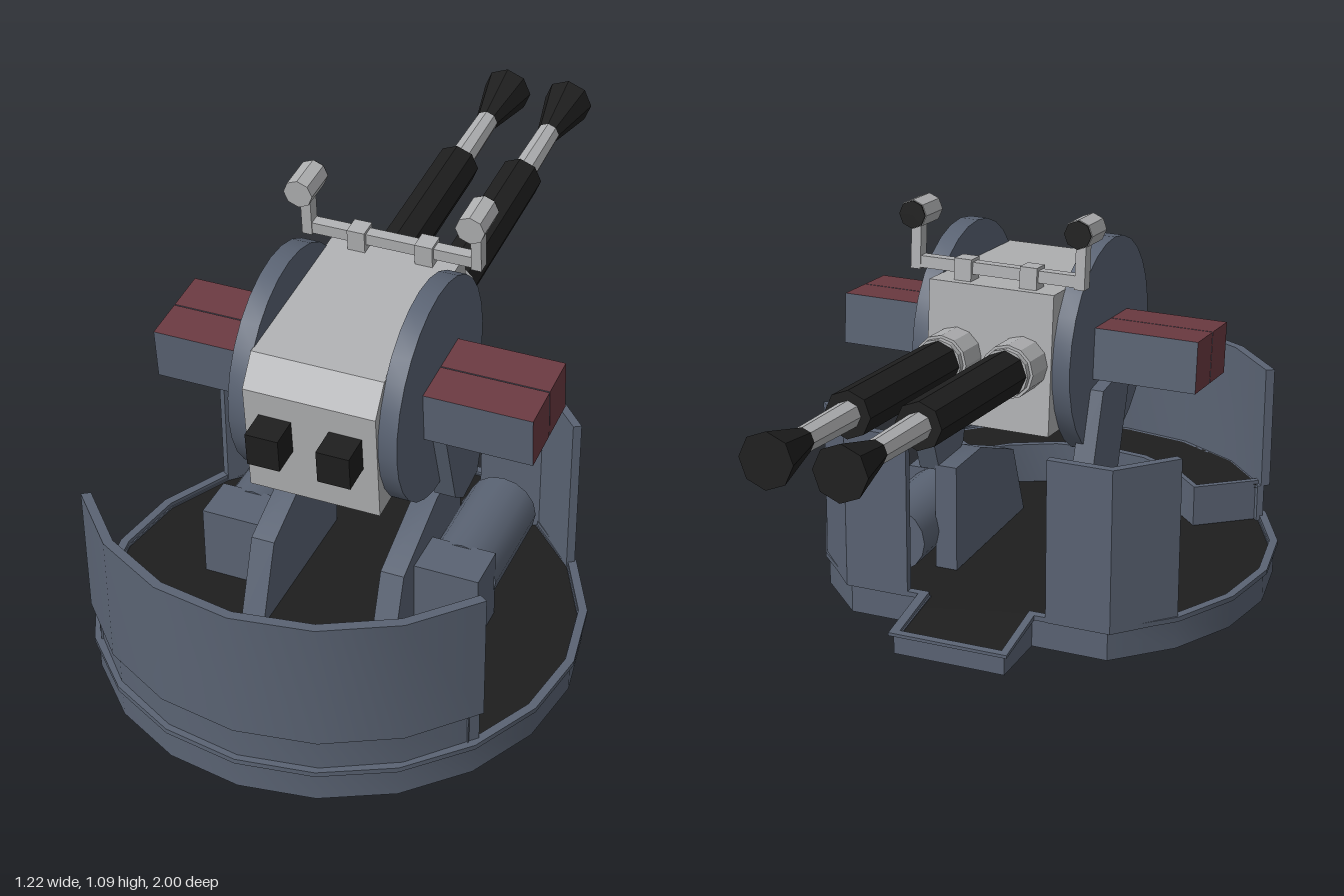
import * as THREE from 'three';
import { toCreasedNormals } from 'three/addons/utils/BufferGeometryUtils.js';

const mat = (name, color, side = THREE.FrontSide) => {
  const m = new THREE.MeshStandardMaterial({ color, side });
  m.name = name;
  return m;
};

export function createModel() {
  const steel = mat('blueGreySteel', 0x5a6373);
  const light = mat('lightGrey', 0xb0b1b3);
  const black = mat('black', 0x1e1e1e, THREE.DoubleSide);
  const red = mat('darkRed', 0x6b3a41);

  const model = new THREE.Group();
  model.name = 'twinGunTurret';
  // Gentle curves are smooth, sharper corners stay crisp
  const add = (parent, name, geo, material) => {
    const m = new THREE.Mesh(toCreasedNormals(geo, 0.5), material);
    m.name = name;
    parent.add(m);
  };
  const toShape = (pts) => new THREE.Shape(pts.map(([a, b]) => new THREE.Vector2(a, b)));

  // Prism from a floor plan of [x, z] points, standing between y0 and y1
  const plan = (pts, y0, y1, hole) => {
    const shape = toShape(pts);
    if (hole) shape.holes.push(toShape(hole.reverse()));
    return new THREE.ExtrudeGeometry(shape, { depth: y1 - y0, bevelEnabled: false })
      .rotateX(Math.PI / 2).translate(0, y1, 0);
  };
  // Plate from a side profile of [z, y] points, lying between x0 and x1
  const plate = (pts, x0, x1) =>
    new THREE.ExtrudeGeometry(toShape(pts), { depth: x1 - x0, bevelEnabled: false })
      .rotateY(-Math.PI / 2).translate(x1, 0, 0);
  const box = (w, h, d, x, y, z) => new THREE.BoxGeometry(w, h, d).translate(x, y, z);
  // Round part along z from zA (radius rA) back to zB (radius rB)
  const rod = (rA, rB, zA, zB, x, y, sides = 8) =>
    new THREE.CylinderGeometry(rA, rB, zA - zB, sides)
      .rotateX(Math.PI / 2).translate(x, y, (zA + zB) / 2);

  // Base outline: 20-sided circle cut flat at the back, with a step platform
  const CZ = 0.39;
  const arc = (r, n, step) => {
    const pts = [];
    for (let i = -n; i <= n; i++) pts.push([r * Math.sin(i * step), CZ + r * Math.cos(i * step)]);
    return pts;
  };
  const outline = (grow) => {
    const w = 0.15 + grow, cut = -0.095 - grow, end = -0.27 - grow;
    return [...arc(0.6 + grow, 8, Math.PI / 10), [w, cut], [w, end], [-w, end], [-w, cut]];
  };
  // Lower the top of the platform towards its end
  const slope = (geo) => {
    const p = geo.attributes.position;
    for (let i = 0; i < p.count; i++) {
      if (p.getZ(i) < -0.12) p.setY(i, p.getY(i) * 0.66);
    }
    return geo;
  };
  add(model, 'baseRim', slope(plan(outline(0), 0, 0.08, outline(-0.015))), steel);
  add(model, 'baseFlange', slope(plan(outline(0.01), 0.078, 0.091, outline(-0.012))), steel);
  add(model, 'floor',
    slope(new THREE.ShapeGeometry(toShape(outline(-0.008))).rotateX(Math.PI / 2).translate(0, 0.075, 0)), black);

  // Front armour
  const wallArc = (r) => arc(r, 3, 0.326);
  const band = (rOut, rIn) => [...wallArc(rOut), ...wallArc(rIn).reverse()];
  add(model, 'frontWallLower', plan(band(0.594, 0.576), 0.077, 0.18), steel);
  add(model, 'frontWallUpper', plan(band(0.61, 0.586), 0.18, 0.515), steel);

  // Raised ledge inside the front armour
  const edge = [[0.475, 0.728], [0.33, 0.612], [0.25, 0.692], [0.13, 0.757], [0, 0.775]];
  const inner = [...edge, ...edge.slice(0, 4).reverse().map(([x, z]) => [-x, z])];
  add(model, 'ledgeFace',
    plan([...inner, ...inner.map(([x, z]) => [x, z + 0.02]).reverse()], 0.077, 0.19), steel);
  add(model, 'ledgeTop', plan([...inner.map(([x, z]) => [x, z + 0.01]), ...wallArc(0.582)], 0.172, 0.18), black);

  for (const s of [-1, 1]) {
    const side = s > 0 ? 'left' : 'right';
    const mir = (pts) => pts.map(([x, z]) => [s * x, z]);
    const span = (a, b) => [Math.min(s * a, s * b), Math.max(s * a, s * b)];

    // Rear armour
    add(model, side + 'RearWall', plan(mir([[0.19, -0.105], [0.362, -0.105], [0.49, 0.035],
      [0.472, 0.046], [0.352, -0.083], [0.19, -0.083]]), 0.077, 0.515), steel);

    // Pedestal bracket and the arm that carries the gun
    add(model, side + 'PedestalBracket', plate([[0.54, 0.077], [0.465, 0.28], [0.25, 0.365],
      [0.09, 0.365], [0.09, 0.077]], ...span(0.14, 0.2)), steel);
    add(model, side + 'SupportArm', plate([[0.33, 0.64], [0.245, 0.375], [0.19, 0.335],
      [0.095, 0.35], [0.065, 0.43], [0.13, 0.62]], ...span(0.19, 0.245)), steel);

    // Drive motor
    add(model, side + 'MotorBox', box(0.17, 0.188, 0.12, s * 0.28, 0.171, 0.34), steel);
    add(model, side + 'MotorDrum', rod(0.09, 0.09, 0.29, 0, s * 0.28, 0.18, 16), steel);
  }

  // Elevating gun, tilted about the centre of the side discs
  const gun = new THREE.Group();
  gun.name = 'elevatingGun';
  gun.position.set(0, 0.7, 0.261);
  gun.rotation.x = 0.08;
  model.add(gun);

  add(gun, 'gunHousing', plate([[0.28, -0.178], [0.28, 0.11], [0.222, 0.178],
    [-0.283, 0.18], [-0.283, -0.178]], -0.165, 0.165), light);
  add(gun, 'sightBar', box(0.46, 0.03, 0.03, 0, 0.212, -0.235), light);

  for (const s of [-1, 1]) {
    const side = s > 0 ? 'left' : 'right';
    add(gun, side + 'Disc', new THREE.CylinderGeometry(0.275, 0.275, 0.048, 28)
      .rotateZ(Math.PI / 2).translate(s * 0.187, 0, 0), steel);

    // Two ammunition boxes side by side
    for (const k of [-1, 1]) {
      add(gun, side + 'AmmoBox', box(0.27, 0.132, 0.111, s * 0.345, 0, k * 0.057),
        [red, red, red, red, steel, steel]);
    }

    // Barrel
    const x = s * 0.088;
    add(gun, side + 'Grip', box(0.082, 0.088, 0.08, x, 0, 0.315), black);
    add(gun, side + 'BarrelCollar', rod(0.068, 0.068, -0.275, -0.375, x, 0, 12), light);
    add(gun, side + 'BarrelNeck', rod(0.061, 0.061, -0.37, -0.392, x, 0, 12), light);
    add(gun, side + 'BarrelSleeve', rod(0.058, 0.058, -0.39, -0.877, x, 0), black);
    add(gun, side + 'Barrel', rod(0.034, 0.03, -0.87, -1.1, x, 0), light);
    add(gun, side + 'Muzzle', rod(0.03, 0.066, -1.095, -1.26, x, 0), black);

    // Sight
    add(gun, side + 'SightClip', box(0.045, 0.06, 0.05, s * 0.087, 0.205, -0.235), light);
    add(gun, side + 'SightStem', box(0.026, 0.13, 0.035, s * 0.218, 0.258, -0.235), light);
    add(gun, side + 'Sight', rod(0.037, 0.037, -0.18, -0.275, s * 0.218, 0.334), light);
    add(gun, side + 'SightLens', rod(0.035, 0.035, -0.274, -0.279, s * 0.218, 0.334), black);
  }
  return model;
}
